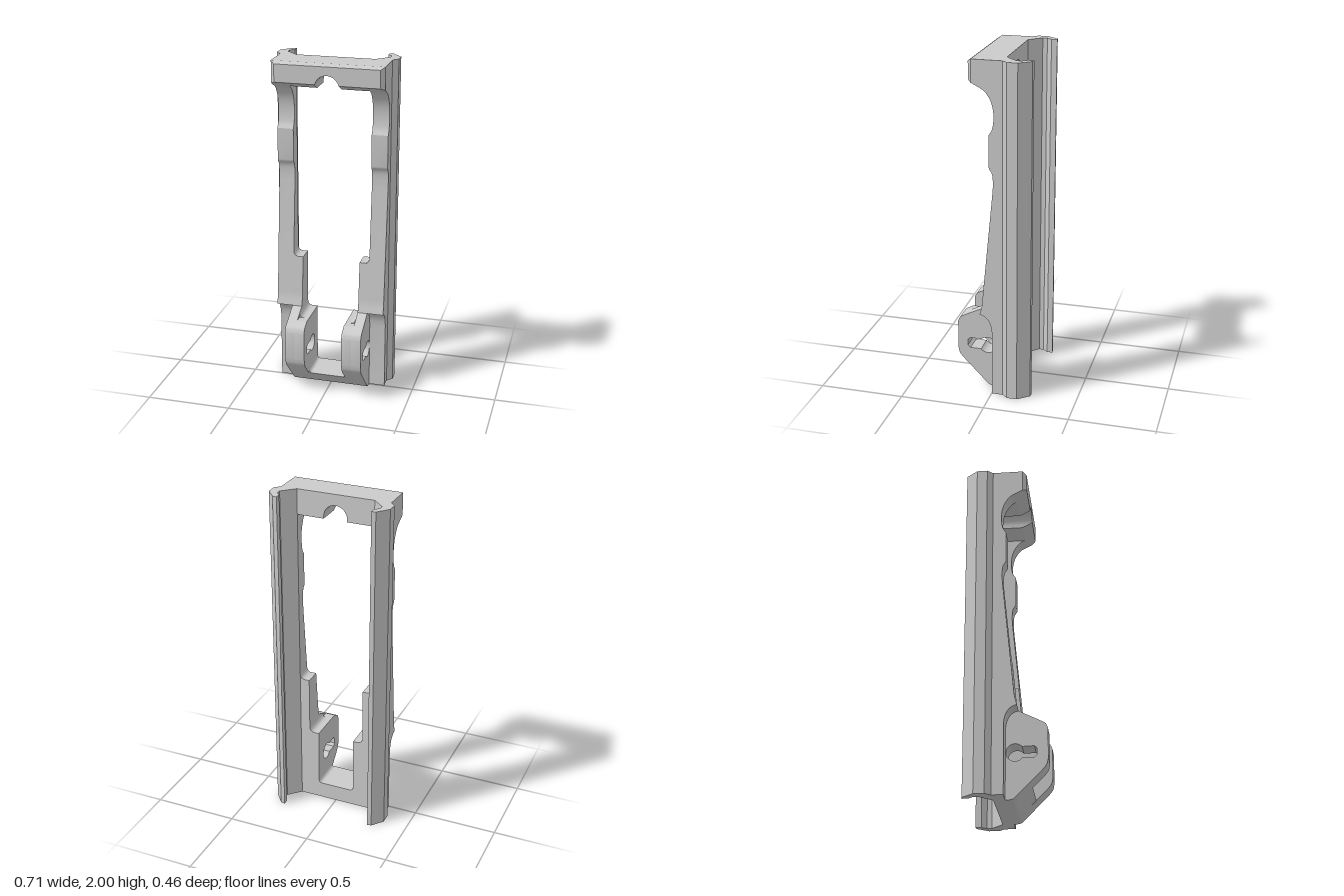
import * as THREE from 'three';
import { toCreasedNormals } from 'three/addons/utils/BufferGeometryUtils.js';

const BACK = -0.068; // back plane of the frame between the rails
const material = new THREE.MeshStandardMaterial({ color: 0xcccccc });

function mesh(name, geometry) {
  const m = new THREE.Mesh(toCreasedNormals(geometry, 0.45), material);
  m.name = name;
  return m;
}

const shapeOf = (pts) => new THREE.Shape(pts.map(([a, b]) => new THREE.Vector2(a, b)));
const extrude = (shape, depth, steps = 1) =>
  new THREE.ExtrudeGeometry(shape, { depth, steps, bevelEnabled: false, curveSegments: 20 });

// Side profile given as [z, y], extruded from x0 to x1
function slab(name, pts, x0, x1, hole) {
  const shape = shapeOf(pts.map(([z, y]) => [-z, y]));
  if (hole) shape.holes.push(hole);
  const g = extrude(shape, x1 - x0);
  g.rotateY(Math.PI / 2);
  g.translate(x0, 0, 0);
  return mesh(name, g);
}

// Smooth run of profile points
const curve = (pts, n = 16) =>
  new THREE.SplineCurve(pts.map(([a, b]) => new THREE.Vector2(a, b))).getPoints(n).map((p) => [p.x, p.y]);

// Front edge of the uprights, from under the cap down to the lug
const upright = [
  ...curve([[0.068, 1.85], [0.035, 1.83], [0.005, 1.79], [-0.013, 1.74], [-0.018, 1.68], [-0.01, 1.62], [0.01, 1.585]], 24),
  [0.01, 1.4],
  ...curve([[0.008, 1.39], [-0.008, 1.365], [-0.013, 1.32], [-0.012, 1.27]], 8),
  ...curve([[0.05, 0.62], [0.056, 0.56], [0.07, 0.505]], 8),
];

// Scooped relief beside each lug
const relief = [...curve([[0.07, 0.505], [0.045, 0.497], [0.02, 0.475], [0.004, 0.44], [-0.003, 0.4]], 12), [-0.003, 0]];

// Outline of the lug from its top to the foot
const lug = [
  ...curve([[0.195, 0.442], [0.218, 0.427], [0.23, 0.4]], 8),
  ...curve([[0.23, 0.23], [0.222, 0.195], [0.2, 0.165]], 8),
  ...curve([[0.05, 0.013], [0.036, 0.003], [0.02, 0]], 5),
];

// Keyhole: round eye with a slot running forward, [-z, y]
function keyhole() {
  const p = new THREE.Path();
  p.moveTo(-0.17, 0.25);
  p.lineTo(-0.155, 0.235);
  p.lineTo(-0.09, 0.235);
  const a = Math.atan2(-0.03, -0.04);
  p.absarc(-0.05, 0.265, 0.05, a, Math.PI - 0.72, false);
  p.lineTo(-0.155, 0.3);
  p.lineTo(-0.17, 0.287);
  p.closePath();
  return p;
}

// Quarter-round fill in the corner at (x, y), opening towards the centre line
function fillet(s, x, y, front, r = 0.03) {
  const pts = [[s * x, y]];
  for (let i = 0; i <= 6; i++) {
    const t = (i / 6) * Math.PI / 2;
    pts.push([s * (x - r + r * Math.sin(t)), y + r - r * Math.cos(t)]);
  }
  const g = extrude(shapeOf(pts), front - BACK);
  g.translate(0, 0, BACK);
  return mesh('cornerFillet', g);
}

// Cap with a round notch; each depth station trims the outline for the chamfers
function cap() {
  const s = new THREE.Shape();
  s.moveTo(-0.325, 1.85);
  s.lineTo(-0.07, 1.85);
  s.lineTo(-0.07, 1.865);
  s.absarc(0, 1.865, 0.07, Math.PI, 0, true);
  s.lineTo(0.07, 1.85);
  s.lineTo(0.325, 1.85);
  s.lineTo(0.325, 2);
  s.lineTo(-0.325, 2);
  s.closePath();
  const stations = [ // z, bottom, top, half width
    [BACK, 1.85, 2, 0.325],
    [0.068, 1.85, 2, 0.325],
    [0.108, 1.87, 2, 0.325],
    [0.13, 1.882, 1.985, 0.302],
  ];
  const g = extrude(s, 3, 3);
  const p = g.attributes.position;
  for (let i = 0; i < p.count; i++) {
    const [z, low, high, half] = stations[Math.round(p.getZ(i))];
    p.setXYZ(i, THREE.MathUtils.clamp(p.getX(i), -half, half), THREE.MathUtils.clamp(p.getY(i), low, high), z);
  }
  return mesh('topCap', g);
}

// Hooked rail section [x, z], run over the full height
function rail(s) {
  const section = [
    [0.23, BACK], [0.3, -0.139], [0.3, -0.166], [0.275, -0.196], [0.275, -0.23],
    [0.3, -0.227], [0.355, -0.16], [0.355, -0.1], [0.325, BACK],
  ];
  const g = extrude(shapeOf(section.map(([x, z]) => [s * x, -z])), 2);
  g.rotateX(-Math.PI / 2);
  return mesh(s > 0 ? 'leftRail' : 'rightRail', g);
}

export function createModel() {
  const model = new THREE.Group();
  model.name = 'railFrame';

  model.add(cap());
  // Sill joining the two lugs
  model.add(slab('bottomSill', [[BACK, 0.1], [0.135, 0.1], ...lug.slice(-6), [BACK, 0]], -0.113, 0.113));

  for (const s of [1, -1]) {
    const side = new THREE.Group();
    side.name = s > 0 ? 'leftSide' : 'rightSide';
    const add = (name, pts, x0, x1, hole) =>
      side.add(slab(name, pts, Math.min(s * x0, s * x1), Math.max(s * x0, s * x1), hole));

    side.add(rail(s));
    add('upright', [[BACK, 1.85], ...upright, ...relief.slice(1), [BACK, 0]], 0.23, 0.325);
    add('lugOuter', [[BACK, 0.81], [0.032, 0.81], ...upright.slice(-9), ...lug, [BACK, 0]], 0.172, 0.23, keyhole());
    add('lugInner', [[BACK, 0.455], [0.17, 0.455], ...lug, [BACK, 0]], 0.113, 0.172, keyhole());
    side.add(fillet(s, 0.23, 0.81, 0.03));
    side.add(fillet(s, 0.172, 0.455, 0.12));
    side.add(fillet(s, 0.113, 0.1, 0.13, 0.02));
    model.add(side);
  }
  return model;
}
